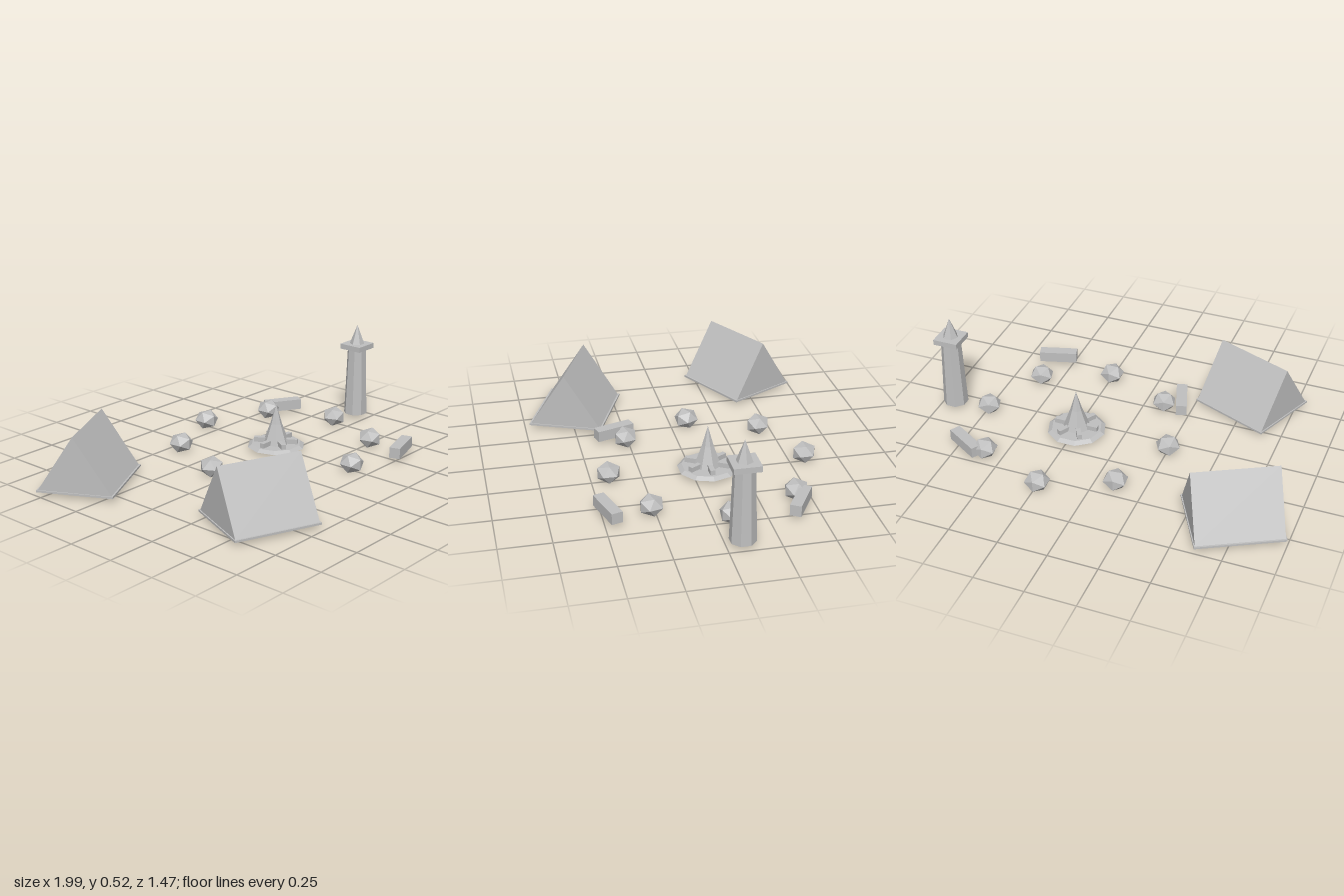
import * as THREE from 'three';

export function createModel() {
  const model = new THREE.Group();
  const grey = new THREE.MeshStandardMaterial({ color: 0xbfbfbf });
  grey.name = 'plainGrey';
  const GROUND = 0.018;

  function add(parent, name, geometry, x = 0, y = 0, z = 0, turn = 0) {
    const flat = geometry.index ? geometry.toNonIndexed() : geometry;
    flat.computeVertexNormals();
    const mesh = new THREE.Mesh(flat, grey);
    mesh.name = name;
    mesh.position.set(x, y, z);
    mesh.rotation.y = turn;
    parent.add(mesh);
    return mesh;
  }

  function group(name, x, z, turn = 0) {
    const g = new THREE.Group();
    g.name = name;
    g.position.set(x, GROUND, z);
    g.rotation.y = turn;
    model.add(g);
    return g;
  }

  // Ridge tents: a floor sheet with a triangular prism on top
  function tent(name, x, z, turn) {
    const g = group(name, x, z, turn);
    add(g, 'tentFloor', new THREE.BoxGeometry(0.435, 0.01, 0.385), 0, 0.005, 0);
    const outline = new THREE.Shape();
    outline.moveTo(-0.184, 0);
    outline.lineTo(0.184, 0);
    outline.lineTo(0, 0.282);
    outline.closePath();
    const prism = new THREE.ExtrudeGeometry(outline, { depth: 0.424, bevelEnabled: false });
    prism.translate(0, 0, -0.212).rotateY(Math.PI / 2);
    add(g, 'tentCanvas', prism, 0, 0.01, 0);
  }
  tent('backTent', -0.715, -0.468, 0.49);
  tent('frontTent', -0.527, 0.467, -0.39);

  // Campfire: bevelled hearth, six radial logs and a pointed flame
  const fire = group('campfire', 0.24, -0.08);
  add(fire, 'hearth', new THREE.CylinderGeometry(0.13, 0.151, 0.015, 10), 0, 0.0075, 0, Math.PI / 2);
  for (let i = 0; i < 6; i++) {
    const a = (i * Math.PI) / 3;
    add(fire, 'fireLog', new THREE.BoxGeometry(0.08, 0.028, 0.024),
      0.075 * Math.cos(a), 0.026, -0.075 * Math.sin(a), a);
  }
  const flameProfile = [[0.07, 0.012], [0.03, 0.122], [0, 0.227]].map(p => new THREE.Vector2(...p));
  add(fire, 'flame', new THREE.LatheGeometry(flameProfile, 7));

  // Ring of eight squat stones
  const stoneTurns = [0.35, 0.1, 0, 0.1, 0.5, 0.25, 0, 0.25];
  stoneTurns.forEach((turn, i) => {
    const a = (i * Math.PI) / 4;
    const stone = new THREE.IcosahedronGeometry(0.064, 0).scale(1, 0.83, 1);
    add(model, 'ringStone', stone, 0.24 + 0.494 * Math.cos(a), 0.0455, -0.08 - 0.494 * Math.sin(a), turn);
  });

  // Bench blocks
  for (const [x, z, turn] of [[0.70, -0.42, -0.54], [0.58, 0.473, 0.29], [-0.19, 0.315, -1.26]]) {
    add(model, 'bench', new THREE.BoxGeometry(0.2, 0.056, 0.056), x, GROUND + 0.028, z, turn);
  }

  // Watchtower: tapered shaft, square platform, pointed roof
  const tower = group('watchtower', 0.93, -0.08);
  add(tower, 'towerShaft', new THREE.CylinderGeometry(0.051, 0.064, 0.373, 8), 0, 0.1865, 0, Math.PI / 8);
  add(tower, 'towerPlatform', new THREE.BoxGeometry(0.13, 0.028, 0.13), 0, 0.386, 0);
  add(tower, 'towerRoof', new THREE.ConeGeometry(0.04, 0.105, 6), 0, 0.4525, 0, Math.PI / 2);

  return model;
}
